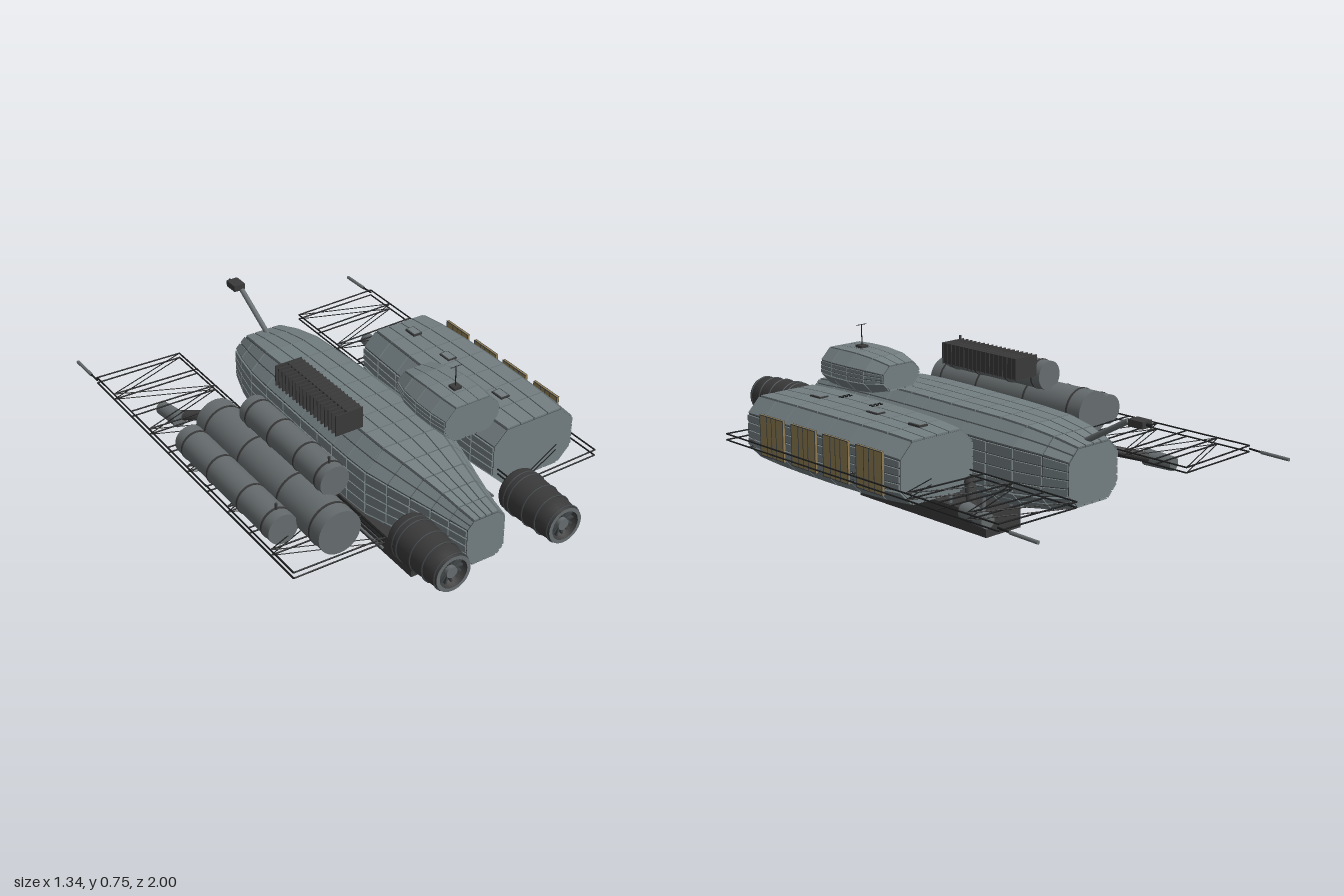
import * as THREE from 'three';

const mat = (name, color) => Object.assign(new THREE.MeshStandardMaterial({ color }), { name });

export function createModel() {
  const plate = mat('hull plating', 0x737e81);
  const seam = mat('dark seam', 0x3f4446);
  const dark = mat('dark metal', 0x3a3a3b);
  const black = mat('black frame', 0x1c1d1e);
  const grey = mat('pipe grey', 0x666c6e);
  const brown = mat('solar brown', 0x8f7a50);
  const root = new THREE.Group();
  const V = (x, y, z) => new THREE.Vector3(x, y, z);

  const group = (name, parent = root) => {
    const g = new THREE.Group();
    g.name = name;
    parent.add(g);
    return g;
  };
  const add = (name, geo, m, parent = root, x = 0, y = 0, z = 0) => {
    const mesh = new THREE.Mesh(geo, m);
    mesh.name = name;
    mesh.position.set(x, y, z);
    parent.add(mesh);
    return mesh;
  };
  const box = (name, m, x, y, z, w, h, d, parent) => add(name, new THREE.BoxGeometry(w, h, d), m, parent, x, y, z);
  const rod = (name, m, a, b, r, parent, sides = 8, r2 = r) => {
    const dir = b.clone().sub(a), mid = a.clone().add(b).multiplyScalar(0.5);
    const mesh = add(name, new THREE.CylinderGeometry(r2, r, dir.length(), sides), m, parent, mid.x, mid.y, mid.z);
    mesh.quaternion.setFromUnitVectors(V(0, 1, 0), dir.normalize());
    return mesh;
  };
  const surface = (pts) => {
    const g = new THREE.BufferGeometry().setFromPoints(pts);
    g.computeVertexNormals();
    return g;
  };
  const quad = (out, a, b, c, d) => out.push(a, b, c, a, c, d);

  // Chamfered-box cross-section, each edge divided for the plating
  const ring = ([z, w, h, c], cx, cy, flat, cut) => {
    const k = [[w, c - h], [w, h - c], [w - c, h], [c - w, h], [-w, h - c], [-w, c - h], [c - w, -h], [w - c, -h]];
    const pts = [];
    k.forEach((p, i) => {
      const q = k[(i + 1) % 8], n = i % 2 ? cut : flat;
      for (let j = 0; j < n; j++) {
        const t = j / n;
        pts.push(V(cx + p[0] + (q[0] - p[0]) * t, cy + p[1] + (q[1] - p[1]) * t, z));
      }
    });
    return pts;
  };

  // Dark core covered in raised plates; sections run from back to front
  const platedHull = (name, cx, cy, sections, flat, cut, t = 0.007, gap = 0.005) => {
    const g = group(name);
    const rings = sections.map((s) => ring(s, cx, cy, flat, cut));
    const core = [], plates = [], caps = [];
    const n = rings[0].length;
    for (let i = 0; i < rings.length - 1; i++) {
      for (let j = 0; j < n; j++) {
        const k = (j + 1) % n;
        const q = [rings[i][j], rings[i][k], rings[i + 1][k], rings[i + 1][j]];
        quad(core, ...q);
        const u = q[1].clone().sub(q[0]), v = q[3].clone().sub(q[0]);
        const normal = u.clone().cross(v).normalize();
        const mid = q.reduce((s, p) => s.add(p), V(0, 0, 0)).multiplyScalar(0.25);
        const fu = 1 - Math.min(0.5, gap / u.length()), fv = 1 - Math.min(0.5, gap / v.length());
        const U = u.clone().normalize();
        const low = q.map((p) => {
          const d = p.clone().sub(mid), along = d.dot(U);
          return mid.clone().addScaledVector(U, along * fu).add(d.addScaledVector(U, -along).multiplyScalar(fv));
        });
        const top = low.map((p) => p.clone().addScaledVector(normal, t));
        quad(plates, ...top);
        for (let e = 0; e < 4; e++) quad(plates, low[e], low[(e + 1) % 4], top[(e + 1) % 4], top[e]);
      }
    }
    for (const [r, s] of [[rings[0], -1], [rings[rings.length - 1], 1]]) {
      const mid = V(cx, cy, r[0].z);
      r.forEach((p, j) => {
        const q = r[(j + 1) % n];
        caps.push(mid, s > 0 ? p : q, s > 0 ? q : p);
      });
    }
    add('hullCore', surface(core), seam, g);
    add('hullPlates', surface(plates), plate, g);
    add('endCaps', surface(caps), plate, g);
    return g;
  };

  // Main hull, side pod and upper cabin: [z, half width, half height, chamfer]
  platedHull('mainHull', 0, 0.335, [
    [-0.63, 0.125, 0.105, 0.045], [-0.53, 0.155, 0.13, 0.055], [-0.41, 0.18, 0.148, 0.065],
    [-0.28, 0.188, 0.155, 0.07], [-0.15, 0.192, 0.158, 0.07], [-0.02, 0.195, 0.16, 0.072],
    [0.1, 0.197, 0.162, 0.073], [0.2, 0.198, 0.163, 0.074], [0.3, 0.198, 0.163, 0.074],
    [0.41, 0.193, 0.16, 0.072], [0.51, 0.168, 0.147, 0.065], [0.61, 0.14, 0.13, 0.055],
    [0.7, 0.115, 0.115, 0.045], [0.78, 0.095, 0.1, 0.035], [0.86, 0.078, 0.09, 0.026],
  ], 4, 2);
  platedHull('sidePod', 0.45, 0.382, [
    [-0.3, 0.17, 0.11, 0.055], [-0.18, 0.181, 0.118, 0.056], [-0.05, 0.188, 0.121, 0.057],
    [0.08, 0.193, 0.122, 0.058], [0.2, 0.194, 0.122, 0.058], [0.32, 0.193, 0.122, 0.058],
    [0.44, 0.19, 0.12, 0.057], [0.56, 0.182, 0.116, 0.056],
  ], 4, 1);
  platedHull('upperCabin', 0.185, 0.58, [
    [0.19, 0.088, 0.045, 0.03], [0.27, 0.115, 0.063, 0.04], [0.36, 0.125, 0.07, 0.045],
    [0.45, 0.125, 0.07, 0.045], [0.525, 0.117, 0.067, 0.043],
  ], 3, 1, 0.005, 0.003);

  // Mast on the cabin
  const mast = group('cabinMast');
  box('mastBase', dark, 0.185, 0.659, 0.42, 0.035, 0.012, 0.035, mast);
  rod('mastPole', black, V(0.185, 0.655, 0.42), V(0.185, 0.745, 0.42), 0.002, mast);
  rod('mastBar', black, V(0.16, 0.745, 0.42), V(0.21, 0.745, 0.42), 0.0015, mast);

  // Hatches and vents on the pod roof
  for (const z of [-0.19, 0.04, 0.37]) {
    box('hatchFrame', dark, 0.44, 0.512, z, 0.04, 0.008, 0.06, root);
    box('hatchLid', plate, 0.44, 0.514, z, 0.03, 0.008, 0.05, root);
  }
  for (const z of [0.12, 0.3]) for (const x of [0.35, 0.37, 0.39])
    for (const s of [-0.007, 0.007]) box('roofVent', black, x, 0.512, z + s, 0.012, 0.006, 0.005, root);

  // Solar panels along the pod flank
  for (const z of [0.38, 0.19, 0.005, -0.18]) {
    const g = group('solarPanel');
    box('panelFrame', brown, 0.656, 0.387, z, 0.008, 0.158, 0.142, g);
    for (const x of [0.6605, 0.6515]) {
      for (const s of [-0.069, -0.028, 0, 0.028, 0.069]) box('panelBar', seam, x, 0.387, z + s, 0.002, 0.158, 0.003, g);
      for (const s of [-0.078, 0.078]) box('panelRail', seam, x, 0.387 + s, z, 0.002, 0.003, 0.142, g);
    }
  }

  // Engines with ribbed shells and open bladed fronts
  for (const sx of [-1, 1]) {
    const g = group('engine');
    g.position.set(sx * 0.24, 0.375, 0);
    const profile = [[0, 0.725], [0.078, 0.725], [0.085, 0.735], [0.085, 0.78], [0.082, 0.86], [0.076, 0.94],
      [0.071, 0.995], [0.058, 0.995], [0.055, 0.95], [0, 0.95]].map(([r, y]) => new THREE.Vector2(r, y));
    add('engineShell', new THREE.LatheGeometry(profile, 28), dark, g).rotation.x = Math.PI / 2;
    [[0.76, 0.085], [0.785, 0.086], [0.86, 0.083], [0.925, 0.079], [0.985, 0.073]].forEach(([z, r]) =>
      add('engineBand', new THREE.TorusGeometry(r, 0.003, 6, 28), seam, g, 0, 0, z));
    add('intakeLip', new THREE.RingGeometry(0.057, 0.071, 28), grey, g, 0, 0, 0.998);
    for (let i = 0; i < 14; i++) {
      const a = (i / 14) * Math.PI * 2;
      const b = box('fanBlade', seam, Math.cos(a) * 0.038, Math.sin(a) * 0.038, 0.965, 0.038, 0.007, 0.02, g);
      b.rotation.z = a;
    }
    rod('fanHub', grey, V(0, 0, 0.95), V(0, 0, 0.99), 0.022, g, 16);
  }

  // Storage tanks with dark bands and a valve: [x, y, radius, back, front, valve z]
  for (const [x, y, r, z0, z1, vz] of [[-0.45, 0.4, 0.086, -0.225, 0.63, null],
    [-0.588, 0.38, 0.06, -0.185, 0.485, 0.44], [-0.395, 0.525, 0.059, -0.035, 0.515, 0.48]]) {
    const g = group('storageTank');
    rod('tankBody', grey, V(x, y, z0), V(x, y, z1), r, g, 32);
    for (const t of [0.08, 0.36, 0.68, 0.93]) {
      const z = z0 + (z1 - z0) * t;
      rod('tankBand', dark, V(x, y, z - 0.004), V(x, y, z + 0.004), r + 0.003, g, 32);
    }
    if (vz !== null) rod('tankValve', dark, V(x, y + r - 0.01, vz), V(x, y + r + 0.025, vz), 0.005, g);
  }

  // Finned radiator
  const radiator = group('radiator');
  box('radiatorCore', dark, -0.182, 0.597, 0.115, 0.06, 0.082, 0.41, radiator);
  for (let i = 0; i < 18; i++) box('radiatorFin', dark, -0.207, 0.597, -0.088 + i * 0.024, 0.116, 0.086, 0.005, radiator);

  // Keel box on struts
  box('keelBox', dark, 0, 0.0425, 0.19, 0.184, 0.085, 0.74, root);
  for (const sx of [-1, 1]) for (const z of [0.42, 0.23, 0.04, -0.145])
    rod('keelStrut', grey, V(sx * 0.073, 0.08, z), V(sx * 0.073, 0.23, z), 0.009, root);

  // Truss wings, gun pods, outer aerials and slim side rods
  for (const sx of [-1, 1]) {
    const g = group('trussWing');
    const outer = (z, y) => V(sx * 0.662, y, z), inner = (z, y) => V(sx * 0.29, y, z);
    const levels = [[0.347, 0.338], [0.323, 0.318]];
    for (const [yo, yi] of levels) {
      rod('outerRail', black, outer(-0.82, yo), outer(0.67, yo), 0.0032, g, 6);
      rod('innerRail', black, inner(-0.82, yi), inner(0.67, yi), 0.0032, g, 6);
      for (let i = 0; i <= 10; i++) {
        const z = -0.82 + i * 0.149;
        rod('crossBar', black, outer(z, yo), inner(z, yi), 0.003, g, 6);
        if (i < 10) {
          const flip = i % 2 ? 0.149 : 0;
          rod('diagonal', black, outer(z + 0.149 - flip, yo), inner(z + flip, yi), 0.002, g, 6);
        }
      }
    }
    rod('aerialStem', black, V(sx * 0.662, 0.335, -0.82), V(sx * 0.662, 0.332, -0.88), 0.004, g);
    rod('aerial', grey, V(sx * 0.662, 0.332, -0.875), V(sx * 0.662, 0.33, -1), 0.007, g);

    const gun = group('gunPod');
    rod('gunArm', dark, V(sx * 0.325, 0.31, -0.335), V(sx * 0.475, 0.268, -0.51), 0.02, gun, 14);
    rod('gunBody', grey, V(sx * 0.478, 0.268, -0.475), V(sx * 0.492, 0.262, -0.6), 0.033, gun, 20, 0.028);

    for (const y of [0.255, 0.225]) rod('sideRod', grey, V(sx * 0.246, y, -0.15), V(sx * 0.246, y, 0.595), 0.005, root);
  }

  // Rear sensor boom
  const boom = group('sensorBoom');
  rod('boomArm', grey, V(0, 0.425, -0.55), V(0, 0.56, -0.79), 0.011, boom);
  box('sensorHead', dark, 0, 0.562, -0.84, 0.05, 0.026, 0.065, boom);
  rod('sensorTip', black, V(0, 0.562, -0.87), V(0, 0.562, -0.892), 0.006, boom);

  return root;
}
